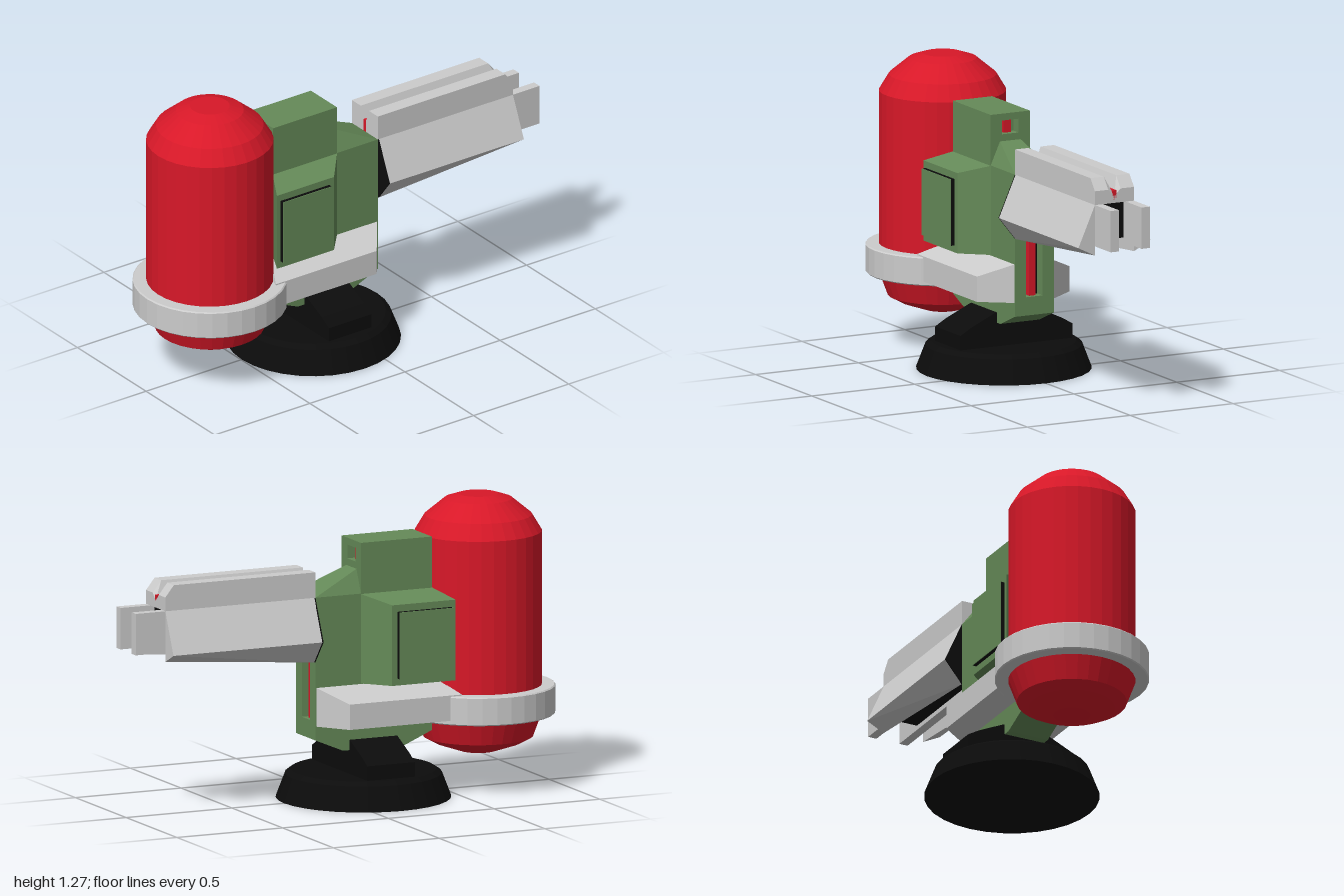
import * as THREE from 'three';
import { ConvexGeometry } from 'three/addons/geometries/ConvexGeometry.js';

const mat = (color) => new THREE.MeshStandardMaterial({ color, flatShading: true });

export function createModel() {
  const model = new THREE.Group();
  const grey = mat(0xcccccc), green = mat(0x658a58), red = mat(0xd81828), black = mat(0x0c0c0c);

  const add = (name, geometry, material) => {
    const mesh = new THREE.Mesh(geometry, material);
    mesh.name = name;
    model.add(mesh);
    return mesh;
  };
  // Box given by its extents along each axis
  const box = (name, material, [x0, x1], [y0, y1], [z0, z1]) =>
    add(name, new THREE.BoxGeometry(x1 - x0, y1 - y0, z1 - z0), material)
      .position.set((x0 + x1) / 2, (y0 + y1) / 2, (z0 + z1) / 2);
  // Solid hull around a few corners
  const hull = (name, material, corners) =>
    add(name, new ConvexGeometry(corners.map((c) => new THREE.Vector3(...c))), material);
  // Side profile of [z, y] points, extruded from x0 to x1
  const slab = (name, material, profile, x0, x1) => {
    const shape = new THREE.Shape(profile.map(([z, y]) => new THREE.Vector2(-z, y)));
    const geometry = new THREE.ExtrudeGeometry(shape, { depth: x1 - x0, bevelEnabled: false });
    add(name, geometry.rotateY(Math.PI / 2).translate(x0, 0, 0), material);
  };
  // Round part turned from [radius, y] points
  const turned = (name, material, profile, z) => {
    const points = profile.map(([r, y]) => new THREE.Vector2(r, y));
    add(name, new THREE.LatheGeometry(points, 32), material).position.z = z;
  };

  // Tank and its clamp ring
  turned('tank', red, [[0, 0.155], [0.08, 0.157], [0.185, 0.193], [0.235, 0.22], [0.272, 0.32],
    [0.272, 1.11], [0.23, 1.18], [0.145, 1.25], [0.085, 1.27], [0, 1.27]], 0.665);
  turned('tankRing', grey, [[0.26, 0.32], [0.325, 0.32], [0.33, 0.325], [0.33, 0.44],
    [0.325, 0.445], [0.26, 0.445]], 0.665);

  // Foot and swivel block
  turned('foot', black, [[0, 0], [0.375, 0], [0.335, 0.105], [0.31, 0.122], [0, 0.122]], 0.122);
  const swivel = new THREE.Shape([[-0.272, 0.12], [0.272, 0.12], [0.272, 0.185], [0.22, 0.215],
    [0.1, 0.27], [-0.1, 0.27], [-0.22, 0.215], [-0.272, 0.185]].map((p) => new THREE.Vector2(...p)));
  add('swivelBlock', new THREE.ExtrudeGeometry(swivel, { depth: 0.225, bevelEnabled: false }), black)
    .position.z = 0.01;

  // Body: two side walls around a core with a rear slot and a sight window
  const bottom = [[0.4, 0.28], [0.27, 0.225], [-0.02, 0.225], [-0.15, 0.28]];
  const middle = [[-0.15, 0.9], [0.065, 0.9]];
  const top = [[0.065, 1.12], [0.4, 1.12]];
  const slot = [[-0.15, 0.36], [-0.09, 0.36], [-0.09, 0.7], [-0.15, 0.7]];
  const sight = [[0.065, 1.03], [0.11, 1.03], [0.11, 1.09], [0.065, 1.09]];
  slab('bodyCore', green, [...bottom, ...slot, ...middle, ...sight, ...top], -0.04, 0.04);
  for (const x of [-0.095, 0.04]) slab('bodyWall', green, [...bottom, ...middle, ...top], x, x + 0.055);
  hull('rearSlope', green, [-1, 1].flatMap((s) => [[s * 0.05, 1, 0.065], [s * 0.095, 0.9, 0.065],
    [s * 0.05, 0.9, -0.15], [s * 0.095, 0.9, -0.15]]));
  box('slotBack', black, [-0.04, 0.04], [0.36, 0.7], [-0.1, -0.086]);
  box('slotTube', red, [-0.015, 0.015], [0.36, 0.7], [-0.13, -0.09]);
  box('sightLamp', red, [-0.018, 0.018], [1.03, 1.09], [0.09, 0.11]);

  for (const s of [-1, 1]) {
    const mirrored = (list) => list.map(([x, y, z]) => [s * x, y, z]);
    const range = (a, b) => (s > 0 ? [a, b] : [-b, -a]);

    // Side pod with a raised cover plate
    hull('sidePod', green, mirrored([[0.205, 0.51, 0.46], [0.205, 0.86, 0.46], [0.205, 0.51, 0.16],
      [0.205, 0.86, 0.16], [0.09, 0.51, 0.4], [0.09, 0.9, 0.4], [0.09, 0.51, 0.06], [0.09, 0.9, 0.06]]));
    box('coverEdge', black, range(0.2, 0.222), [0.54, 0.83], [0.185, 0.44]);
    box('coverPlate', green, range(0.222, 0.225), [0.54, 0.83], [0.185, 0.44]);

    // Arm reaching forward to the ring
    hull('ringArm', grey, mirrored([[0.09, 0.34, 0.45], [0.09, 0.34, -0.15], [0.09, 0.51, 0.41],
      [0.09, 0.51, -0.15], [0.225, 0.34, 0.45], [0.225, 0.45, 0.48], [0.225, 0.34, -0.05],
      [0.225, 0.45, -0.05]]));

    // Barrel flank, widest at mid height
    const flank = (z, low) => [[0.095, 0.9, z], [0.175, 0.72, z], [0.095, low, z]];
    hull('barrelFlank', grey, mirrored([...flank(-0.155, 0.62), ...flank(-0.86, 0.68)]));
    hull('flankCap', black, mirrored([...flank(-0.15, 0.62), ...flank(-0.156, 0.62)]));
    box('barrelProng', grey, range(0.055, 0.095), [0.72, 0.9], [-1, -0.15]);

    // Half of the top ridge, sloping into the central groove
    const ridge = (z, y) => [[0.03, y, z], [0.095, y, z]];
    hull('barrelRidge', grey, mirrored([...ridge(-0.15, 1.01), ...ridge(-0.82, 1.01), ...ridge(-0.86, 0.96),
      [0.095, 0.9, -0.15], [0.095, 0.9, -0.86], [0, 0.9, -0.15], [0, 0.9, -0.86],
      [0, 0.93, -0.15], [0, 0.93, -0.86]]));
  }
  box('barrelCore', black, [-0.055, 0.055], [0.74, 0.9], [-0.84, -0.15]);
  box('barrelTube', red, [-0.009, 0.009], [0.9, 0.955], [-0.86, -0.15]);

  return model;
}
